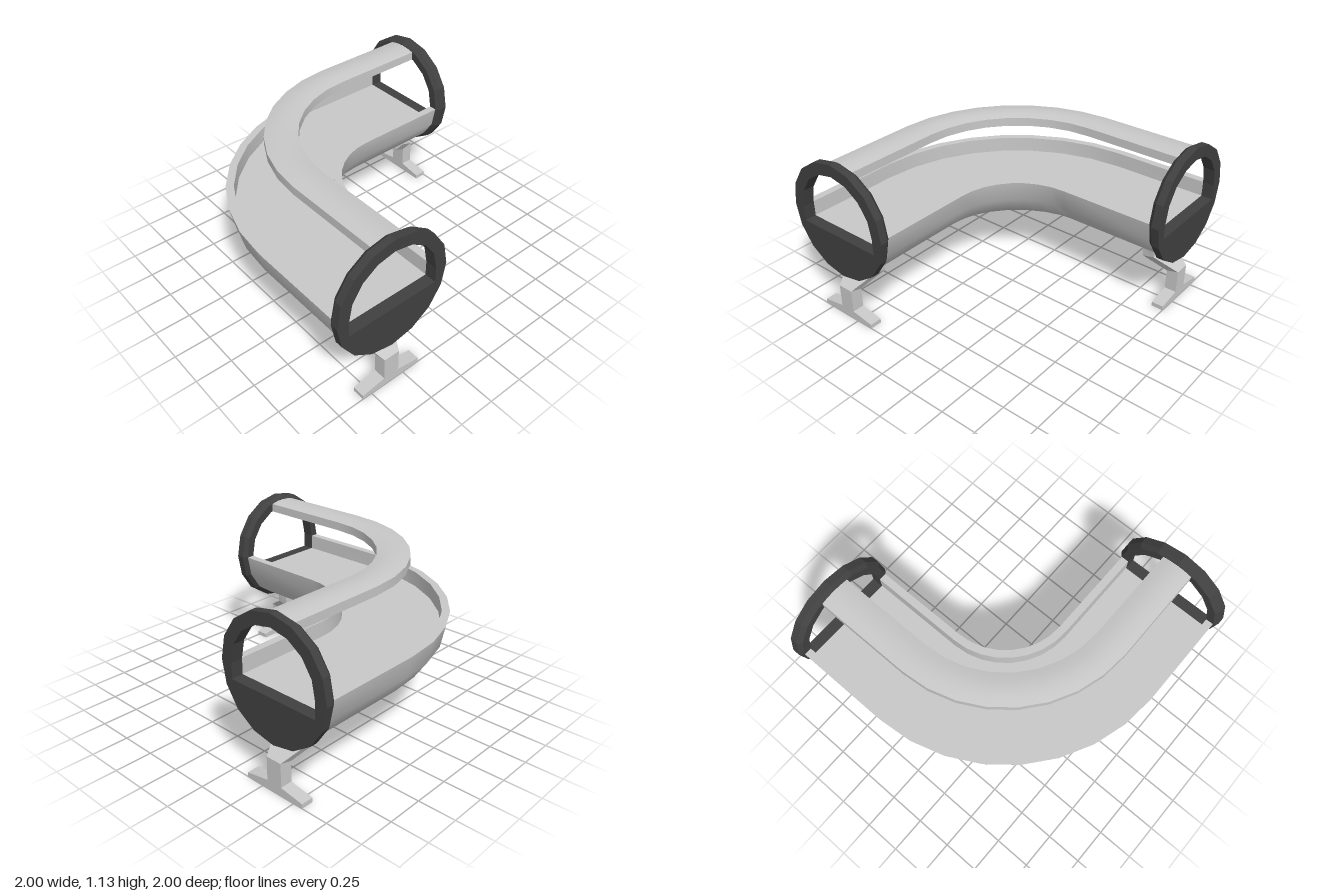
import * as THREE from 'three';

const grey = new THREE.MeshStandardMaterial({ color: 0xc8c8c8 });
grey.name = 'light grey plastic';
const dark = new THREE.MeshStandardMaterial({ color: 0x404040 });
dark.name = 'dark grey rim';

const AXIS_Y = 0.725, OFFSET = 0.595, BEND = 0.845, END = 0.92;

function mesh(name, geometry, material) {
  const m = new THREE.Mesh(geometry, material);
  m.name = name;
  return m;
}

// Points on a circle around the tube axis, as [lateral, height]
function arc(radius, from, to, steps) {
  return Array.from({ length: steps + 1 }, (_, i) => {
    const a = from + (to - from) * i / steps;
    return [radius * Math.cos(a), AXIS_Y + radius * Math.sin(a)];
  });
}

// Stations of the path: straight, quarter bend, straight
function stations() {
  const list = [{ x: -OFFSET, z: -END, nx: -1, nz: 0 }];
  for (let i = 0; i <= 8; i++) {
    const t = i / 8 * Math.PI / 2, nx = -Math.cos(t), nz = Math.sin(t);
    list.push({ x: 0.25 + BEND * nx, z: -0.25 + BEND * nz, nx, nz });
  }
  list.push({ x: END, z: OFFSET, nx: 0, nz: 1 });
  return list;
}

// Sweep counter-clockwise strips along the path; edges between strips stay sharp
function sweep(strips) {
  const path = stations(), pos = [], index = [];
  for (const strip of strips) {
    const base = pos.length / 3, n = strip.length;
    path.forEach((s, j) => strip.forEach(([u, y], i) => {
      pos.push(s.x + s.nx * u, y, s.z + s.nz * u);
      if (j < path.length - 1 && i < n - 1) {
        const a = base + j * n + i, b = a + 1, c = a + n, d = c + 1;
        index.push(a, c, b, b, c, d);
      }
    }));
  }
  const g = new THREE.BufferGeometry();
  g.setAttribute('position', new THREE.Float32BufferAttribute(pos, 3));
  g.setIndex(index);
  g.computeVertexNormals();
  return g;
}

function trough() {
  const r = 0.378, w = 0.325, floor = 0.62;
  return sweep([
    arc(r, Math.PI, 2 * Math.PI, 8),
    [[r, AXIS_Y], [w, AXIS_Y]],
    [[w, AXIS_Y], [w, floor]],
    [[w, floor], [-w, floor]],
    [[-w, floor], [-w, AXIS_Y]],
    [[-w, AXIS_Y], [-r, AXIS_Y]],
  ]);
}

function topRail() {
  const half = 0.108, ro = 0.375, ri = 0.32;
  const ao = Math.acos(half / ro), ai = Math.acos(half / ri);
  const outer = arc(ro, ao, Math.PI - ao, 4);
  const inner = arc(ri, Math.PI - ai, ai, 4);
  return sweep([outer, [outer[4], inner[0]], inner, [inner[4], outer[0]]]);
}

// Sixteen-sided collar with a D-shaped opening and a chamfered back edge
function collar() {
  const ring = (r, k) => new THREE.Vector2(r * Math.cos(k * Math.PI / 8), r * Math.sin(k * Math.PI / 8));
  const shape = new THREE.Shape(Array.from({ length: 16 }, (_, k) => ring(0.405, k)));
  const hole = [new THREE.Vector2(0.323, -0.105)];
  for (let k = 0; k <= 8; k++) hole.push(ring(0.323, k));
  hole.push(new THREE.Vector2(-0.323, -0.105));
  shape.holes.push(new THREE.Path(hole));
  const g = new THREE.ExtrudeGeometry(shape, { depth: 0.08, steps: 2, bevelEnabled: false });
  const p = g.attributes.position;
  for (let i = 0; i < p.count; i++) {
    const x = p.getX(i), y = p.getY(i), z = p.getZ(i);
    if (Math.abs(z - 0.04) < 0.001) p.setZ(i, 0.028);
    if (z < 0.001 && Math.hypot(x, y) > 0.4) p.setXY(i, x * 0.94, y * 0.94);
  }
  g.computeVertexNormals();
  return g.rotateY(Math.PI / 2).translate(END, AXIS_Y, 0);
}

// Support leg: four-cornered sections [outer x, outer y, inner x, inner y, half width]
function leg() {
  const sections = [
    [1, 0, 0.916, 0, 0.222],
    [1, 0.03, 0.916, 0.03, 0.222],
    [1, 0.058, 0.916, 0.058, 0.056],
    [1, 0.22, 0.916, 0.2, 0.056],
    [0.845, 0.315, 0.762, 0.297, 0.13],
    [0.845, 0.372, 0.762, 0.372, 0.138],
  ];
  const pos = [], index = [];
  sections.forEach(([xo, yo, xi, yi, h], j) => {
    pos.push(xo, yo, h, xo, yo, -h, xi, yi, -h, xi, yi, h);
    if (j === sections.length - 1) return;
    for (let i = 0; i < 4; i++) {
      const a = j * 4 + i, b = j * 4 + (i + 1) % 4;
      index.push(a, b, a + 4, b, b + 4, a + 4);
    }
  });
  const t = (sections.length - 1) * 4;
  index.push(0, 2, 1, 0, 3, 2, t, t + 1, t + 2, t, t + 2, t + 3);
  const g = new THREE.BufferGeometry();
  g.setAttribute('position', new THREE.Float32BufferAttribute(pos, 3));
  g.setIndex(index);
  const flat = g.toNonIndexed();
  flat.computeVertexNormals();
  return flat;
}

export function createModel() {
  const model = new THREE.Group();
  model.name = 'curvedSlideSection';
  model.add(mesh('trough', trough(), grey), mesh('topRail', topRail(), grey));

  // The same collar and leg close both ends
  const collarGeometry = collar(), legGeometry = leg();
  for (const name of ['leftEnd', 'backEnd']) {
    const end = new THREE.Group();
    end.name = name;
    end.add(mesh('collar', collarGeometry, dark), mesh('supportLeg', legGeometry, grey));
    if (name === 'leftEnd') {
      end.position.z = OFFSET;
    } else {
      end.position.x = -OFFSET;
      end.rotation.y = Math.PI / 2;
    }
    model.add(end);
  }
  return model;
}
